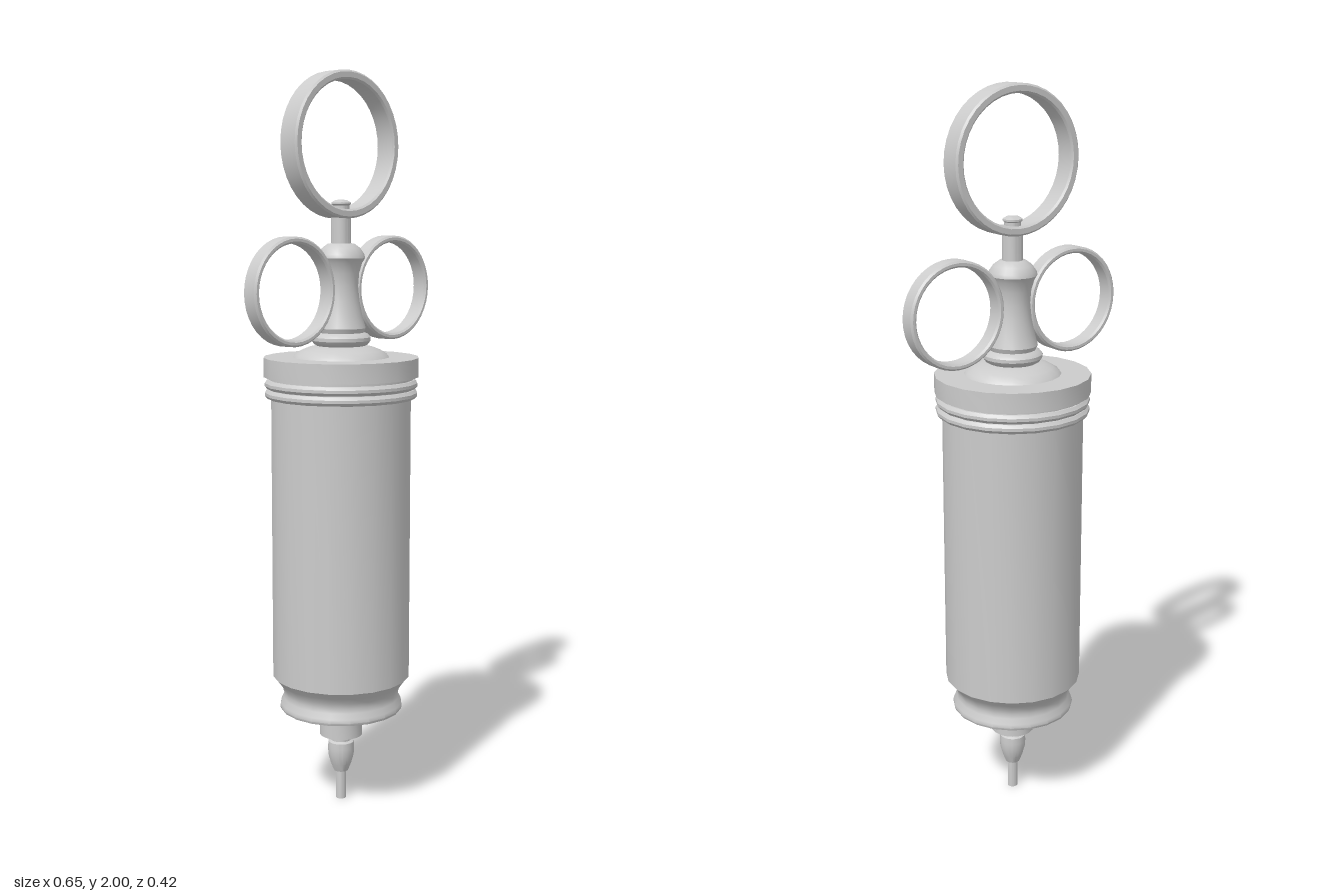
import * as THREE from 'three';
import { toCreasedNormals } from 'three/addons/utils/BufferGeometryUtils.js';

const material = new THREE.MeshStandardMaterial({ color: 0xcccccc });

// Turned part from [radius, height] pairs, listed from bottom to top
function turned(name, profile, segments = 20) {
  const points = profile.map(([r, y]) => new THREE.Vector2(r, y));
  const geometry = toCreasedNormals(new THREE.LatheGeometry(points, segments), 0.6);
  const mesh = new THREE.Mesh(geometry, material);
  mesh.name = name;
  return mesh;
}

// Flat finger ring with softened edges, its hole facing the front
function fingerRing(name, x, y, outer, inner, depth) {
  const h = depth / 2, b = 0.005;
  const ring = turned(name, [
    [inner + b, -h], [outer - b, -h], [outer, -h + b], [outer, h - b],
    [outer - b, h], [inner + b, h], [inner, h - b], [inner, -h + b], [inner + b, -h],
  ], 40);
  ring.rotation.x = Math.PI / 2;
  ring.position.set(x, y, 0);
  return ring;
}

export function createModel() {
  const model = new THREE.Group();
  model.name = 'syringe';

  // Needle tip, bulb and hub collar
  model.add(turned('nozzle', [
    [0, 0], [0.014, 0], [0.014, 0.08], [0.02, 0.082], [0.029, 0.105], [0.036, 0.13],
    [0.037, 0.15], [0.036, 0.168], [0.028, 0.172], [0.028, 0.192], [0, 0.192],
  ]));
  model.add(turned('nozzleCollar', [
    [0, 0.19], [0.06, 0.19], [0.06, 0.234], [0.036, 0.234], [0.036, 0.25], [0.045, 0.255], [0.045, 0.272],
  ]));

  // Waisted foot under the barrel
  model.add(turned('barrelFoot', [
    [0, 0.27], [0.168, 0.27], [0.171, 0.277], [0.169, 0.287], [0.161, 0.302],
    [0.159, 0.315], [0.163, 0.33], [0.175, 0.347], [0.19, 0.365],
  ]));
  model.add(turned('barrel', [[0.19, 0.365], [0.19, 1.16]]));

  // Screw cap with two thread ridges
  for (const y of [1.152, 1.178]) {
    model.add(turned('threadRidge', [
      [0.185, y - 0.013], [0.2, y - 0.012], [0.207, y - 0.004], [0.207, y + 0.004], [0.2, y + 0.012], [0.185, y + 0.013],
    ]));
  }
  model.add(turned('cap', [[0.185, 1.198], [0.21, 1.198], [0.21, 1.25], [0, 1.25]]));
  model.add(turned('capCore', [[0.195, 1.14], [0.195, 1.2]]));
  model.add(turned('capDome', [
    [0.131, 1.249], [0.124, 1.258], [0.108, 1.268], [0.086, 1.277], [0.062, 1.281], [0, 1.282],
  ]));

  // Waisted grip holding the two side rings
  model.add(turned('grip', [
    [0.06, 1.278], [0.073, 1.285], [0.08, 1.295], [0.08, 1.304], [0.073, 1.312], [0.062, 1.316],
    [0.067, 1.328], [0.058, 1.36], [0.05, 1.4], [0.046, 1.44], [0.049, 1.475], [0.057, 1.502],
    [0.065, 1.514], [0.063, 1.524], [0.052, 1.54], [0.036, 1.552], [0, 1.556],
  ]));
  for (const side of [1, -1]) {
    model.add(fingerRing(side > 0 ? 'leftFingerRing' : 'rightFingerRing', side * 0.183, 1.43, 0.142, 0.125, 0.048));
  }

  // Plunger rod, thumb ring and the rivet inside it
  model.add(turned('plungerRod', [[0.027, 1.545], [0.027, 1.63]]));
  model.add(fingerRing('thumbRing', 0, 1.809, 0.191, 0.167, 0.064));
  model.add(turned('thumbRingRivet', [
    [0.022, 1.635], [0.022, 1.652], [0.026, 1.655], [0.026, 1.66], [0.016, 1.666], [0, 1.668],
  ]));

  return model;
}
